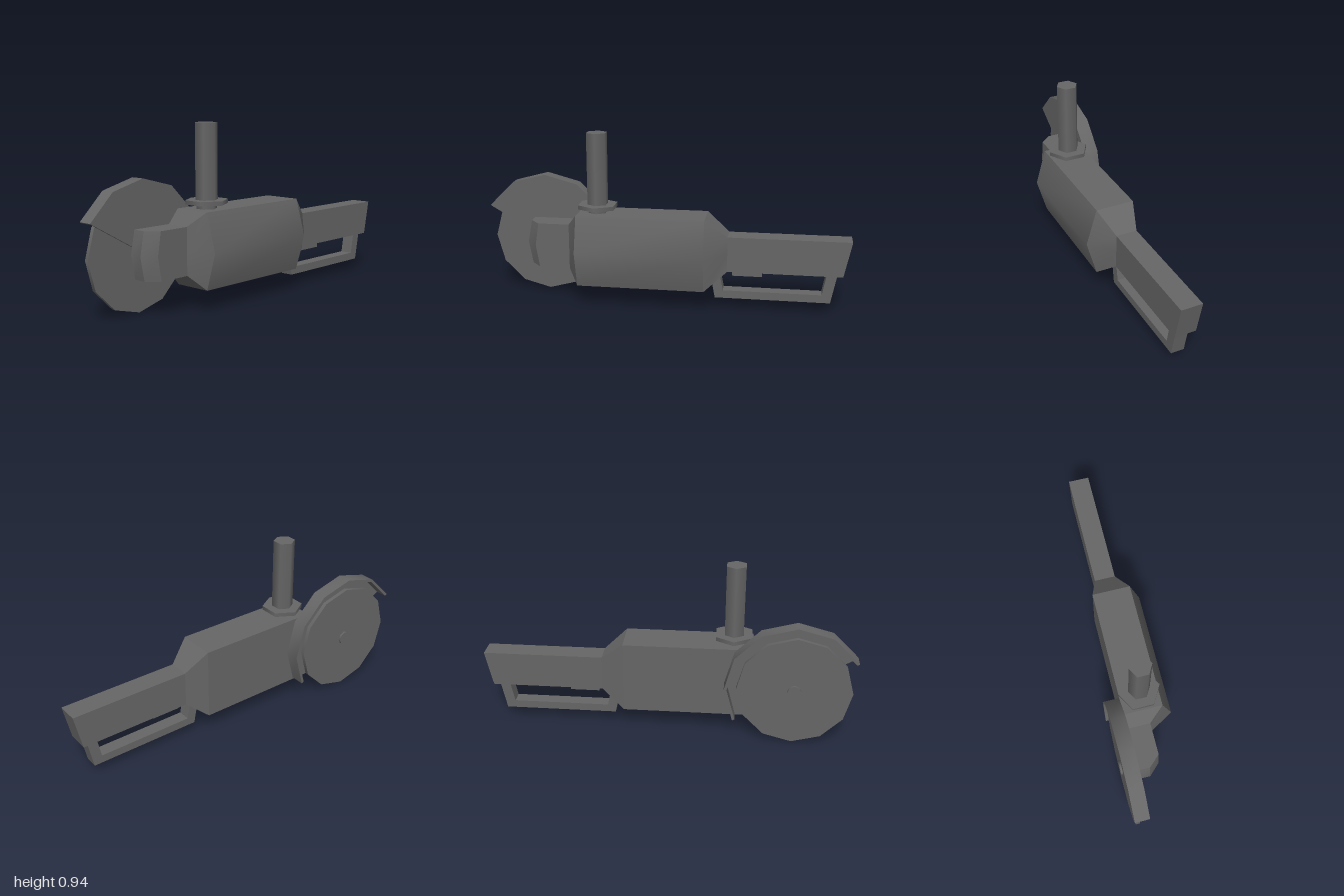
import * as THREE from 'three';
import { mergeGeometries, toCreasedNormals } from 'three/addons/utils/BufferGeometryUtils.js';

const material = new THREE.MeshStandardMaterial({ color: 0x666666 });
const thinMaterial = new THREE.MeshStandardMaterial({ color: 0x666666, side: THREE.DoubleSide });
const CREASE = 0.6;

function add(group, name, geometry, x = 0, y = 0, z = 0, mat = material) {
  const mesh = new THREE.Mesh(geometry, mat);
  mesh.name = name;
  mesh.position.set(x, y, z);
  group.add(mesh);
}

// Six-point cross-section: flat on the -x side, optional ridge on the +x side
function section(xL, xR, xRidge, y0, y1, zBottom, zMid = zBottom, zTop = zBottom) {
  const ym = (y0 + y1) / 2;
  return [
    [xL, y0, zBottom], [xR, y0, zBottom], [xRidge, ym, zMid],
    [xR, y1, zTop], [xL, y1, zTop], [xL, ym, zMid],
  ];
}

// One band of quads, softened across shallow edges only
function band(quads) {
  const pos = quads.flatMap(([a, b, c, d]) => [a, b, c, a, c, d].flat());
  const geometry = new THREE.BufferGeometry();
  geometry.setAttribute('position', new THREE.Float32BufferAttribute(pos, 3));
  return toCreasedNormals(geometry, CREASE);
}

// Closed solid through sections listed from front to back, sharp between bands
function loft(sections) {
  const bands = [];
  for (let s = 0; s < sections.length - 1; s++) {
    const a = sections[s], b = sections[s + 1];
    bands.push(band(a.map((p, i) => [p, b[i], b[(i + 1) % 6], a[(i + 1) % 6]])));
  }
  const f = sections[0], r = sections[sections.length - 1];
  bands.push(band([[f[0], f[1], f[2], f[5]], [f[5], f[2], f[3], f[4]]]));
  bands.push(band([[r[5], r[2], r[1], r[0]], [r[4], r[3], r[2], r[5]]]));
  return mergeGeometries(bands);
}

const toShape = (points) => new THREE.Shape(points.map(([x, y]) => new THREE.Vector2(x, y)));

// Side profile of [z, y] points, extruded from x0 to x1
function slab(points, x0, x1) {
  const geometry = new THREE.ExtrudeGeometry(toShape(points), { depth: x1 - x0, bevelEnabled: false });
  return geometry.rotateY(-Math.PI / 2).translate(x1, 0, 0);
}

export function createModel() {
  const model = new THREE.Group();
  model.name = 'angleGrinder';

  // Motor housing with tapered ends
  const headRing = section(-0.094, 0.036, 0.036, 0.185, 0.432, 0.52);
  const gripRing = section(-0.055, 0.06, 0.06, 0.213, 0.405, -0.35);
  add(model, 'motorHousing', loft([
    headRing,
    section(-0.094, 0.115, 0.172, 0.112, 0.505, 0.46),
    section(-0.094, 0.115, 0.172, 0.112, 0.505, -0.23),
    gripRing,
  ]));

  // Gear head with a chamfered, slightly bowed nose
  add(model, 'gearHead', loft([
    section(-0.094, -0.025, -0.025, 0.185, 0.432, 0.745, 0.768, 0.745),
    section(-0.094, 0.036, 0.036, 0.185, 0.432, 0.69, 0.71, 0.69),
    headRing,
  ]));

  // Rear grip with a slanted end
  add(model, 'rearGrip', loft([
    gripRing,
    section(-0.055, 0.06, 0.06, 0.213, 0.405, -0.96, -0.98, -1),
  ]));

  // Hand guard loop and trigger under the grip
  add(model, 'handGuard', slab([
    [-0.25, 0.235], [-0.285, 0.057], [-0.9, 0.057], [-0.935, 0.235],
    [-0.88, 0.235], [-0.854, 0.1], [-0.328, 0.1], [-0.30, 0.235],
  ], -0.033, 0.038));
  add(model, 'trigger', new THREE.BoxGeometry(0.044, 0.05, 0.16), 0.002, 0.206, -0.455);

  // Cutting disc and spindle, a vertex of the disc pointing straight down
  const cy = 0.306, cz = 0.685;
  const wheel = (radius, width, sides) =>
    new THREE.CylinderGeometry(radius, radius, width, sides).rotateZ(Math.PI / 2);
  add(model, 'cuttingDisc', wheel(0.306, 0.022, 12), -0.15, cy, cz);
  add(model, 'spindle', wheel(0.038, 0.085, 8), -0.1295, cy, cz);

  // Half-round disc cover: plate and rim turned from one profile, plus its straight edge
  const profile = [
    [0, 0.094], [0.37, 0.094], [0.37, 0.173], [0.355, 0.173], [0.355, 0.107], [0, 0.107],
  ];
  const shell = new THREE.LatheGeometry(
    profile.map(([r, y]) => new THREE.Vector2(r, y)), 6, Math.PI / 6, Math.PI);
  const mirrored = profile.slice(1, 5).reverse().map(([r, y]) => [-r, y]);
  const edge = new THREE.ShapeGeometry(toShape([...profile.slice(1, 5), ...mirrored]));
  const cover = new THREE.Group();
  cover.name = 'discCover';
  cover.position.set(0, cy, cz);
  add(cover, 'coverShell', toCreasedNormals(shell, CREASE).rotateZ(Math.PI / 2), 0, 0, 0, thinMaterial);
  add(cover, 'coverEdge', edge.rotateY(-Math.PI / 3).rotateZ(Math.PI / 2), 0, 0, 0, thinMaterial);
  model.add(cover);

  // Side handle standing on top of the housing, softly shaded hexagons
  const hex = (radius, height) =>
    new THREE.CylinderGeometry(radius, radius, height, 6).rotateY(Math.PI / 2);
  const handle = new THREE.Group();
  handle.name = 'sideHandle';
  handle.position.set(0.013, 0, 0.359);
  add(handle, 'handleStem', hex(0.053, 0.06), 0, 0.51, 0);
  add(handle, 'handleFlange', hex(0.111, 0.022), 0, 0.54, 0);
  add(handle, 'handleBar', hex(0.058, 0.395), 0, 0.7425, 0);
  model.add(handle);

  return model;
}
